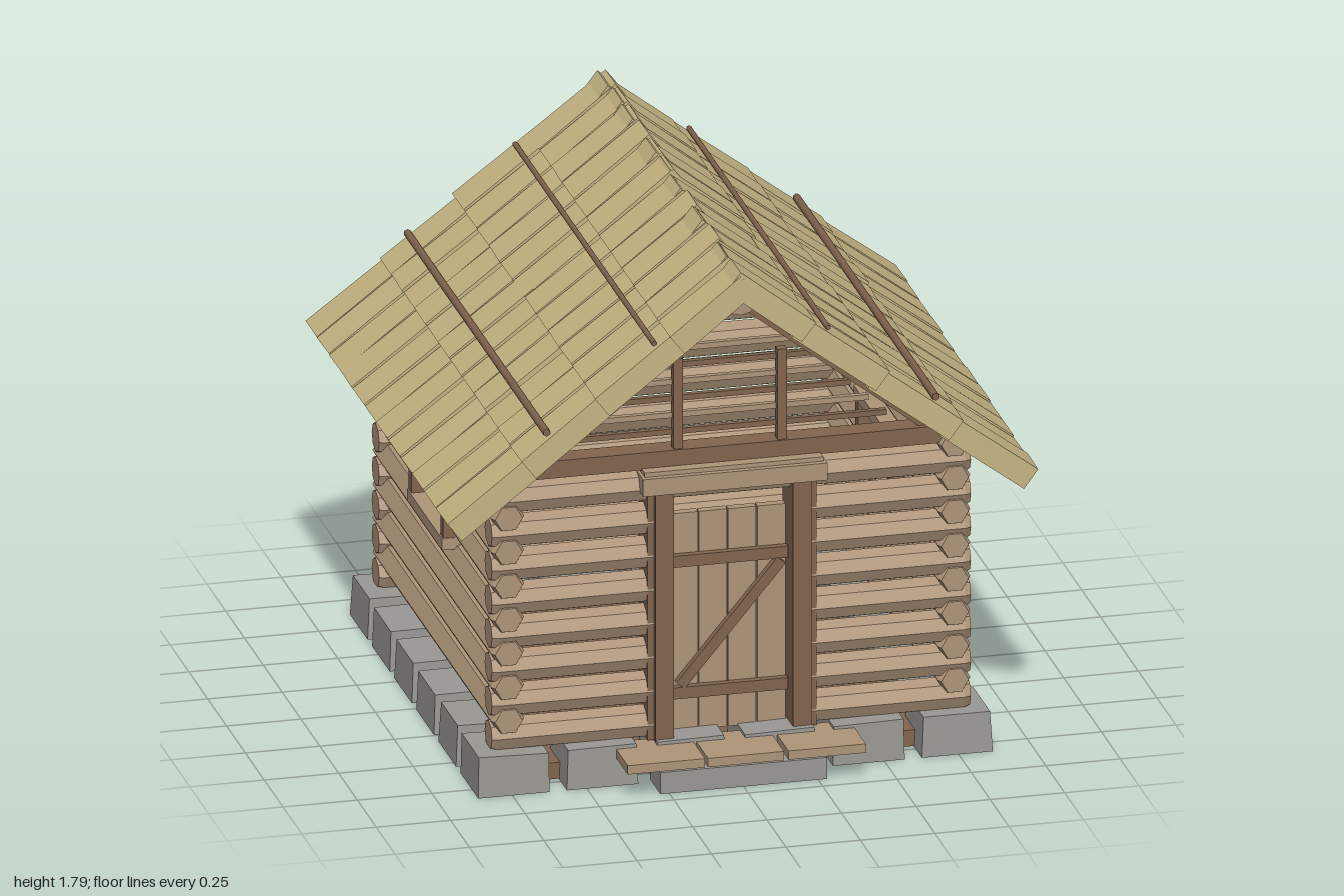
import * as THREE from 'three';

const mat = (name, color) => {
  const m = new THREE.MeshStandardMaterial({ color });
  m.name = name;
  return m;
};

export function createModel() {
  const logWood = mat('log wood', 0xb0957a);
  const darkWood = mat('dark wood', 0x82654f);
  const stone = mat('stone', 0x9b9994);
  const thatch = mat('thatch', 0xc6b584);
  const cabin = new THREE.Group();
  cabin.name = 'logCabin';

  // Seeded jitter in -1..1
  let seed = 7;
  const jitter = () => {
    seed = (seed * 16807) % 2147483647;
    return (seed / 2147483647) * 2 - 1;
  };

  const add = (parent, name, geo, material, x, y, z) => {
    const m = new THREE.Mesh(geo, material);
    m.name = name;
    m.position.set(x, y, z);
    parent.add(m);
    return m;
  };

  // Box given by its min and max on each axis
  const box = (parent, name, material, [x0, x1], [y0, y1], [z0, z1]) =>
    add(parent, name, new THREE.BoxGeometry(x1 - x0, y1 - y0, z1 - z0), material,
      (x0 + x1) / 2, (y0 + y1) / 2, (z0 + z1) / 2);

  // Faceted log along x or z from a to b; e0 and e1 are the end radii
  const log = (parent, name, axis, a, b, y, across, e0 = 0.046, e1 = 0.046, r = 0.056, sides = 6) => {
    const h = (b - a) / 2;
    const t0 = e0 < 0.04 ? 0.06 : 0.02, t1 = e1 < 0.04 ? 0.06 : 0.02;
    const profile = [[0, -h], [e0, -h], [r, -h + t0], [r, h - t1], [e1, h], [0, h]]
      .map(p => new THREE.Vector2(...p));
    let geo = new THREE.LatheGeometry(profile, sides, axis === 'z' ? Math.PI / 2 : 0);
    geo = geo.toNonIndexed();
    geo.computeVertexNormals();
    if (axis === 'z') geo.rotateX(Math.PI / 2);
    else geo.rotateZ(-Math.PI / 2);
    const mid = (a + b) / 2;
    return axis === 'z'
      ? add(parent, name, geo, logWood, across, y, mid)
      : add(parent, name, geo, logWood, mid, y, across);
  };

  const FRONT = 0.73, BACK = -0.77, MID = -0.02, PITCH = 0.118;

  // Floor
  box(cabin, 'floor', darkWood, [-0.77, 0.77], [0.003, 0.06], [BACK, FRONT]);

  // Foundation stones around the edge, slightly uneven
  const stones = new THREE.Group();
  stones.name = 'foundation';
  cabin.add(stones);
  const addStone = (x, z) => {
    const geo = new THREE.BoxGeometry(0.24, 0.14, 0.235);
    const p = geo.attributes.position;
    const lean = jitter() * 0.012, shrink = 0.95 + jitter() * 0.03;
    for (let i = 0; i < p.count; i++) {
      if (p.getY(i) > 0) p.setXYZ(i, p.getX(i) * shrink, 0.068 + lean * p.getX(i) * 2, p.getZ(i) * shrink);
    }
    geo.computeVertexNormals();
    add(stones, 'foundationStone', geo, stone, x, 0.07, z);
  };
  for (let i = 0; i < 6; i++) {
    const u = -0.745 + i * 0.298;
    addStone(u, 0.715);
    addStone(u, -0.755);
    if (i > 0 && i < 5) {
      addStone(0.745, MID + u * 0.985);
      addStone(-0.745, MID + u * 0.985);
    }
  }

  // Door step
  box(cabin, 'stepStone', stone, [-0.28, 0.28], [0, 0.075], [0.8, 0.94]);
  [[-0.4, -0.14], [-0.13, 0.125], [0.14, 0.4]].forEach(xs =>
    box(cabin, 'stepPlank', logWood, xs, [0.095, 0.126], [0.76, 0.98]));

  // Front and back log walls, with the doorway left open
  for (let i = 0; i < 8; i++) {
    const y = 0.18 + i * PITCH;
    log(cabin, 'backLog', 'x', -0.805, 0.805, y, BACK, 0.05, 0.05, 0.057, 8);
    if (i === 7) {
      log(cabin, 'frontLog', 'x', -0.805, 0.805, y, FRONT, 0.05, 0.05, 0.057, 8);
    } else {
      log(cabin, 'frontLog', 'x', -0.805, -0.23, y, FRONT, 0.05, 0.05, 0.057, 8);
      log(cabin, 'frontLog', 'x', 0.23, 0.805, y, FRONT, 0.05, 0.05, 0.057, 8);
    }
  }

  // Side walls, each with a window
  for (const turn of [0, Math.PI]) {
    const side = new THREE.Group();
    side.name = turn ? 'rightWall' : 'leftWall';
    side.rotation.y = turn;
    side.position.z = MID;
    cabin.add(side);
    for (let i = 0; i < 8; i++) {
      const y = 0.24 + i * PITCH;
      if (i === 4 || i === 5) {
        log(side, 'sideLog', 'z', -0.805, -0.2, y, 0.75, 0.046, 0.028);
        log(side, 'sideLog', 'z', 0.2, 0.805, y, 0.75, 0.028, 0.046);
      } else {
        log(side, 'sideLog', 'z', -0.805, 0.805, y, 0.75);
      }
    }
    const depth = [0.67, 0.83];
    box(side, 'windowSill', logWood, depth, [0.63, 0.67], [-0.232, 0.232]);
    box(side, 'windowHead', logWood, depth, [0.85, 0.89], [-0.232, 0.232]);
    for (const s of [-1, 1]) {
      add(side, 'windowJamb', new THREE.BoxGeometry(0.15, 0.18, 0.038), darkWood, 0.75, 0.76, s * 0.21);
    }
    add(side, 'windowBar', new THREE.BoxGeometry(0.016, 0.18, 0.016), darkWood, 0.75, 0.76, 0);
  }

  // Door and its frame
  for (const s of [-1, 1]) {
    add(cabin, 'doorPost', new THREE.BoxGeometry(0.062, 0.87, 0.14), darkWood, s * 0.231, 0.565, 0.735);
    add(cabin, 'doorPostTrim', new THREE.BoxGeometry(0.024, 0.87, 0.12), darkWood, s * 0.272, 0.565, 0.725);
  }
  box(cabin, 'doorLintel', logWood, [-0.31, 0.31], [1.0, 1.06], [0.66, 0.83]);
  box(cabin, 'doorLintelCap', logWood, [-0.3, 0.3], [1.06, 1.075], [0.66, 0.81]);
  for (let i = 0; i < 4; i++) {
    add(cabin, 'doorPlank', new THREE.BoxGeometry(0.094, 0.76, 0.03), logWood,
      -0.147 + i * 0.098, 0.51, 0.71);
  }
  for (const y of [0.27, 0.73]) {
    add(cabin, 'doorBatten', new THREE.BoxGeometry(0.395, 0.04, 0.025), darkWood, 0, y, 0.737);
  }
  const brace = add(cabin, 'doorBrace', new THREE.BoxGeometry(0.53, 0.036, 0.025), darkWood, 0.005, 0.5, 0.739);
  brace.rotation.z = Math.atan2(0.42, 0.35);

  // Gables: tie beam and thinning horizontal bars
  for (const z of [FRONT, BACK]) {
    add(cabin, 'tieBeam', new THREE.BoxGeometry(1.46, 0.06, 0.08), darkWood, 0, 1.1, z);
    for (let i = 0; i < 6; i++) {
      add(cabin, 'gableBar', new THREE.BoxGeometry(1.06 - i * 0.121, 0.019, 0.02),
        i % 2 ? logWood : darkWood, 0, 1.183 + i * 0.058, z);
    }
  }
  for (const x of [-0.175, 0.175]) {
    add(cabin, 'gablePost', new THREE.BoxGeometry(0.032, 0.32, 0.032), darkWood, x, 1.285, FRONT + 0.015);
  }

  // Ridge pole
  log(cabin, 'ridgePole', 'z', -0.92, 0.9, 1.69, 0, 0.058, 0.058, 0.058, 12);

  // Roof slopes: built once for +x, turned for -x
  const A = Math.atan(0.79);
  const onSlope = (d, h) => [d * Math.cos(A) + h * Math.sin(A), 1.79 - d * Math.sin(A) + h * Math.cos(A)];
  const STEP = 0.3165;
  for (const turn of [0, Math.PI]) {
    const slope = new THREE.Group();
    slope.name = turn ? 'rightRoof' : 'leftRoof';
    slope.rotation.y = turn;
    slope.position.z = -0.02;
    cabin.add(slope);

    // Thatch bundles in four overlapping courses, narrower at the top end
    for (let k = 0; k < 4; k++) {
      for (let c = 0; c < 12; c++) {
        const len = STEP + (k ? 0.035 : 0) + (k < 3 ? jitter() * 0.012 : 0);
        const geo = new THREE.BoxGeometry(len, 0.08, 0.15);
        const p = geo.attributes.position;
        const narrow = 0.91 + jitter() * 0.04;
        for (let i = 0; i < p.count; i++) {
          if (p.getX(i) < 0) p.setZ(i, p.getZ(i) * narrow);
        }
        geo.computeVertexNormals();
        const [x, y] = onSlope((k + 1) * STEP - len / 2, -0.045 + jitter() * 0.004);
        const m = add(slope, 'thatchBundle', geo, thatch, x, y, (c - 5.5) * 0.1585 + jitter() * 0.004);
        m.rotation.set(0, jitter() * 0.018, -A + (k ? 0.025 : 0.01) + jitter() * 0.006);
      }
    }

    // Rafters under the thatch
    for (let i = 0; i < 5; i++) {
      const [x, y] = onSlope(0.54, -0.108);
      const m = add(slope, 'rafter', new THREE.BoxGeometry(0.92, 0.035, 0.04), darkWood, x, y, (i - 2) * 0.375);
      m.rotation.z = -A;
    }

    // Rods pinning the thatch down
    for (const [d, h, r] of [[0.37, 0.003, 0.009], [0.825, 0.01, 0.013]]) {
      const [x, y] = onSlope(d, h);
      const geo = new THREE.CylinderGeometry(r, r, 1.85, 6).rotateX(Math.PI / 2);
      add(slope, 'roofRod', geo, darkWood, x, y, 0);
    }
  }
  return cabin;
}
